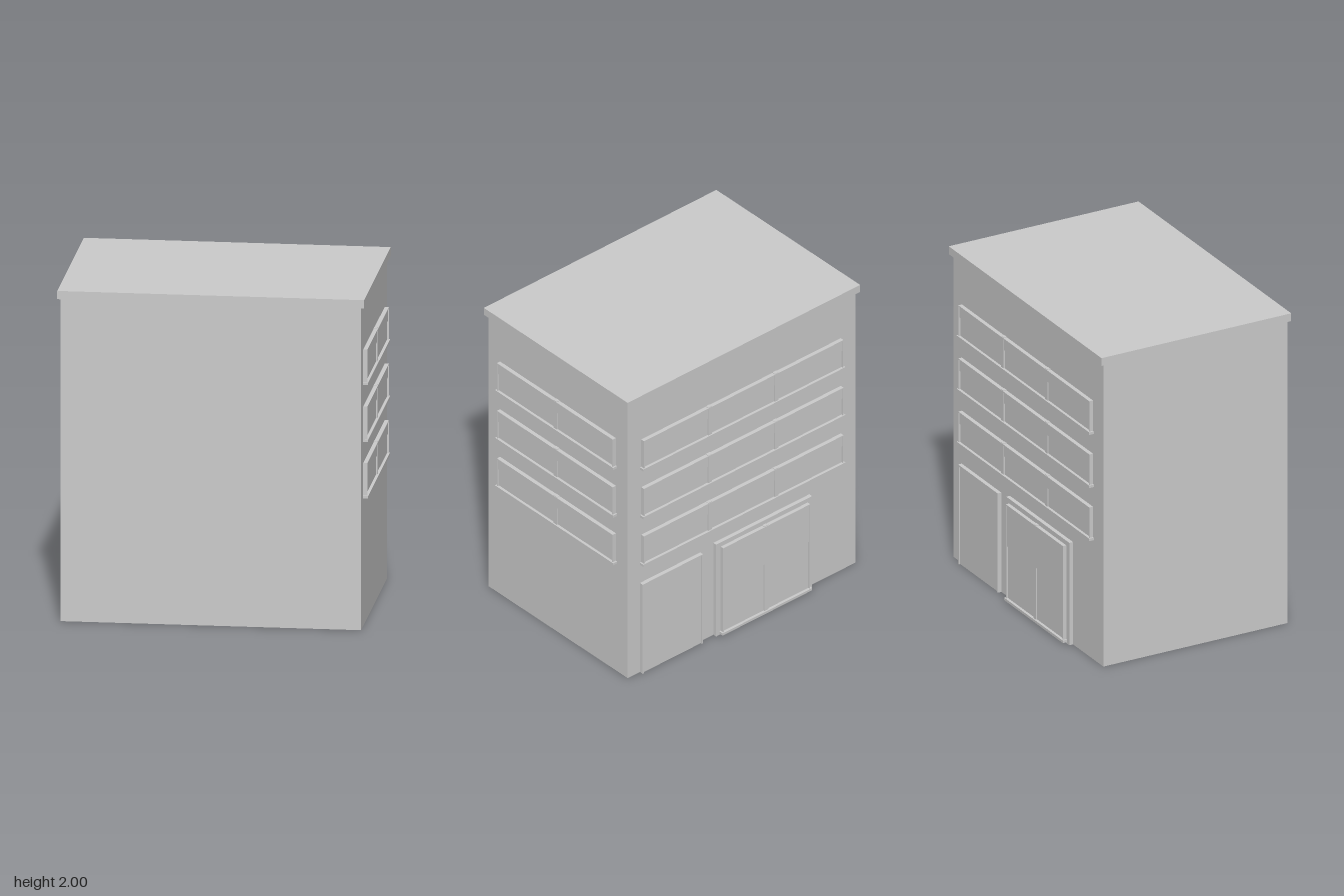
import * as THREE from 'three';

const material = new THREE.MeshStandardMaterial({ color: 0xcccccc, flatShading: true });

// Adds a box given by its lower and upper corner.
function box(parent, name, [x0, y0, z0], [x1, y1, z1]) {
  const mesh = new THREE.Mesh(new THREE.BoxGeometry(x1 - x0, y1 - y0, z1 - z0), material);
  mesh.position.set((x0 + x1) / 2, (y0 + y1) / 2, (z0 + z1) / 2);
  mesh.name = name;
  parent.add(mesh);
  return mesh;
}

// Glazed unit built against a wall at z = 0 and facing +z; y = 0 is the underside of the sill.
function glazing(name, width, height, count, splitHeight) {
  const g = new THREE.Group();
  g.name = name;
  const h = width / 2, sill = 0.016, depth = 0.025, rim = 0.006;
  box(g, 'sill', [-h - 0.01, 0, 0], [h + 0.01, sill, 0.031]);
  box(g, 'lowerPane', [-h, sill, 0], [h, splitHeight, 0.014]);
  box(g, 'upperPane', [-h, splitHeight, 0], [h, height - rim, 0.021]);
  box(g, 'topRail', [-h, height - rim, 0], [h, height, depth]);
  for (const s of [-1, 1]) {
    const x = s * (h - rim / 2);
    box(g, 'sideRail', [x - rim / 2, sill, 0], [x + rim / 2, height - rim, depth]);
  }
  // Posts between neighbouring panes
  for (let i = 1; i < count; i++) {
    const x = -h + (width * i) / count;
    box(g, 'mullion', [x - 0.015, sill, 0], [x + 0.015, height + 0.003, 0.022]);
  }
  return g;
}

export function createModel() {
  const model = new THREE.Group();
  model.name = 'building';
  const back = -0.6, side = 0.88;

  // Main block and flat roof slab
  box(model, 'walls', [-0.895, 0, back], [side, 1.95, 0.64]);
  box(model, 'roofSlab', [-0.912, 1.95, -0.622], [0.9, 2, 0.657]);

  // Three storeys of ribbon windows on the side and the back
  for (const y of [0.773, 1.115, 1.458]) {
    const sideWindow = glazing('sideWindow', 1.03, 0.212, 2, 0.135);
    sideWindow.rotation.y = Math.PI / 2;
    sideWindow.position.set(side, y, 0.02);
    const backWindow = glazing('backWindow', 1.555, 0.212, 3, 0.135);
    backWindow.rotation.y = Math.PI;
    backWindow.position.set(0, y, back - 0.003);
    model.add(sideWindow, backWindow);
  }

  // Single service door: slim frame around a slightly recessed leaf
  const door = new THREE.Group();
  door.name = 'serviceDoor';
  box(door, 'doorLeaf', [0.325, 0, back - 0.016], [0.775, 0.63, back]);
  box(door, 'doorHead', [0.315, 0.63, back - 0.025], [0.785, 0.64, back]);
  for (const x of [0.315, 0.775]) box(door, 'doorJamb', [x, 0, back - 0.025], [x + 0.01, 0.63, back]);
  model.add(door);

  // Main entrance: raised surround with a pair of glazed doors
  box(model, 'entranceSurround', [-0.535, 0, back - 0.025], [0.213, 0.66, back]);
  const entrance = glazing('entranceDoors', 0.678, 0.62, 2, 0.35);
  entrance.rotation.y = Math.PI;
  entrance.position.set(-0.161, 0.01, back - 0.023);
  model.add(entrance);

  return model;
}
